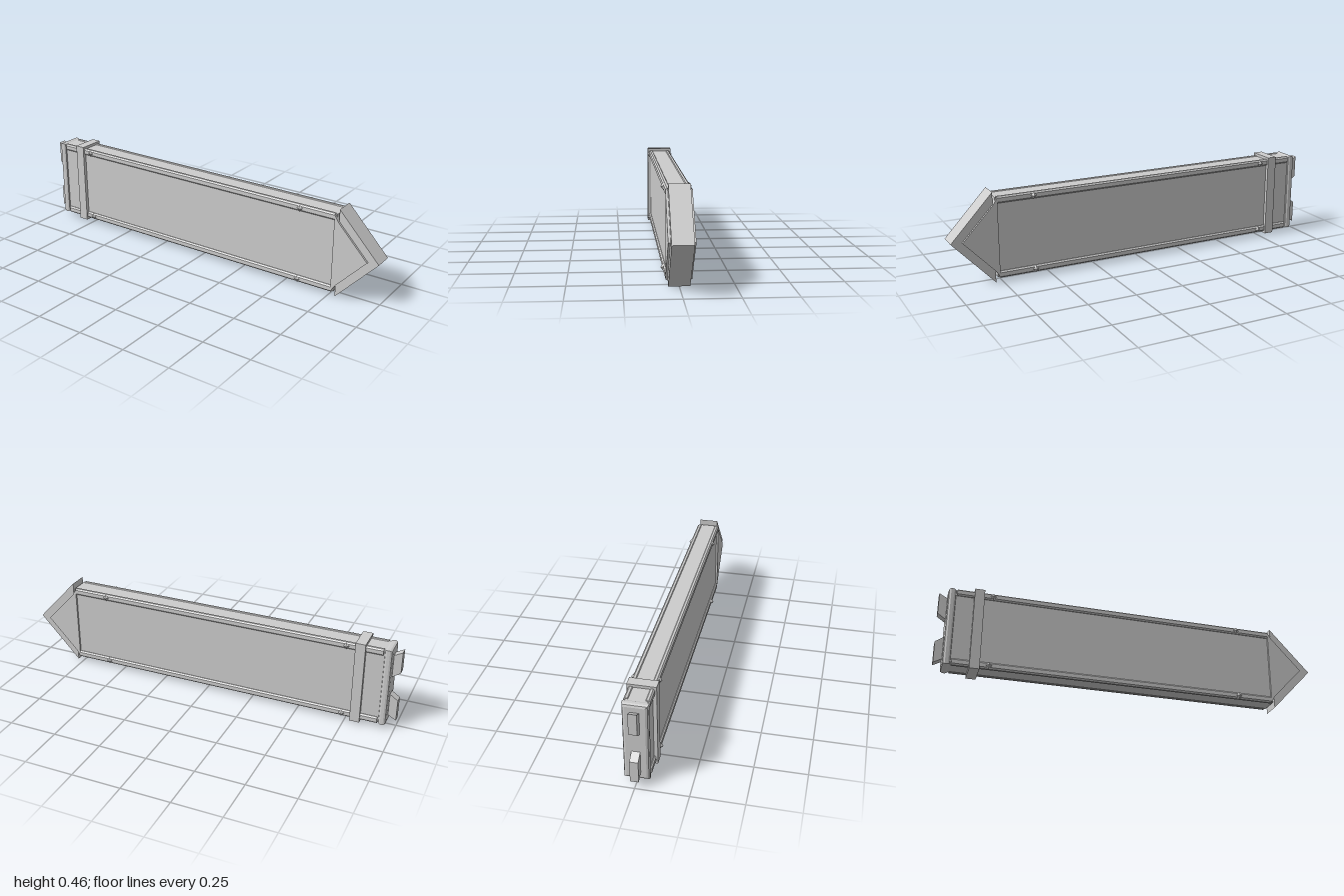
import * as THREE from 'three';

export function createModel() {
  const model = new THREE.Group();
  const grey = new THREE.MeshStandardMaterial({ color: 0xcccccc, flatShading: true });
  const midY = 0.229;

  function add(name, geometry, x = 0, y = 0, z = 0) {
    const mesh = new THREE.Mesh(geometry, grey);
    mesh.name = name;
    mesh.position.set(x, y, z);
    model.add(mesh);
    return mesh;
  }

  // Flat outline in x and y, extruded evenly to both sides of z = 0
  function plate(name, points, halfDepth) {
    const shape = new THREE.Shape(points.map(([x, y]) => new THREE.Vector2(x, y)));
    const geometry = new THREE.ExtrudeGeometry(shape, { depth: 2 * halfDepth, bevelEnabled: false });
    add(name, geometry, 0, 0, -halfDepth);
  }

  // Bar along x whose four long edges are chamfered
  function chamferedBar(name, x0, x1, y, z, h, d, c) {
    const a = d / 2, b = h / 2;
    const shape = new THREE.Shape([
      [-a + c, -b], [a - c, -b], [a, -b + c], [a, b - c],
      [a - c, b], [-a + c, b], [-a, b - c], [-a, -b + c],
    ].map(([u, v]) => new THREE.Vector2(u, v)));
    const geometry = new THREE.ExtrudeGeometry(shape, { depth: x1 - x0, bevelEnabled: false });
    geometry.rotateY(Math.PI / 2);
    add(name, geometry, x0, y, z);
  }

  // Long flat body
  add('body', new THREE.BoxGeometry(1.71, 0.405, 0.1), -0.08, midY, 0);

  // Raised rails and pointed studs along each long edge, front and back
  for (const side of [1, -1]) {
    for (const edge of [1, -1]) {
      const y = midY + edge * 0.189;
      chamferedBar('edgeRail', -0.915, 0.765, y, side * 0.0475, 0.034, 0.025, 0.007);
      for (const x of [-0.735, 0.58]) {
        const stud = add('stud', new THREE.ConeGeometry(0.018, 0.014, 4), x, y, side * 0.065);
        stud.rotation.x = side * Math.PI / 2;
      }
    }
  }

  // Strap around the body
  add('strap', new THREE.BoxGeometry(0.05, 0.434, 0.136), -0.805, midY, 0);

  // End cap with bevelled rim
  const a = 0.046, b = 0.192;
  const capShape = new THREE.Shape([[-a, -b], [a, -b], [a, b], [-a, b]]
    .map(([u, v]) => new THREE.Vector2(u, v)));
  const cap = new THREE.ExtrudeGeometry(capShape, {
    depth: 0.014, bevelEnabled: true, bevelSize: 0.014, bevelThickness: 0.013, bevelSegments: 2,
  });
  cap.rotateY(Math.PI / 2);
  add('endCap', cap, -0.946, midY, 0);

  // Two slanted tabs behind the cap, mirrored about the middle
  for (const s of [1, -1]) {
    plate('endTab', [[-0.955, 0.046], [-0.955, 0.164], [-1, 0.189], [-1, 0.077]]
      .map(([x, y]) => [x, midY + s * y]), 0.02);
  }

  // Pointed tip: thick core inside a wider arrowhead
  plate('tipCore', [[0.765, 0.027], [0.785, 0.06], [0.945, midY], [0.785, 0.398], [0.765, 0.431]], 0.06);
  plate('arrowhead', [[0.785, 0], [1, midY], [0.785, 0.458]], 0.049);

  return model;
}
